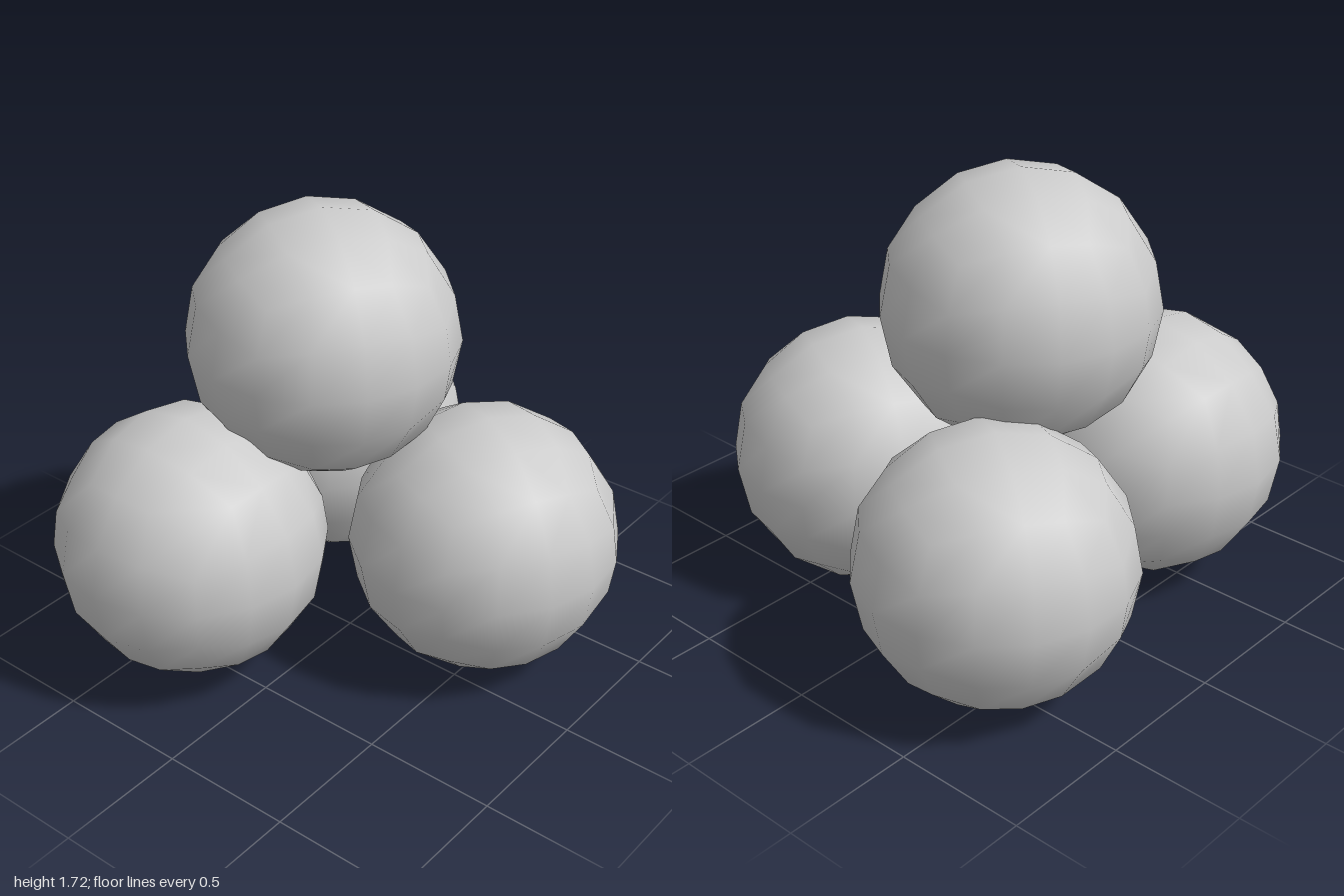
import * as THREE from 'three';

// Low-poly ball: a subdivided cube warped to equal angles and pushed out to a sphere
function ballGeometry(radius) {
  const geo = new THREE.BoxGeometry(2, 2, 2, 4, 4, 4);
  const pos = geo.attributes.position;
  const normal = geo.attributes.normal;
  const v = new THREE.Vector3();
  const warp = (t) => Math.tan((t * Math.PI) / 4);
  for (let i = 0; i < pos.count; i++) {
    v.fromBufferAttribute(pos, i);
    v.set(warp(v.x), warp(v.y), warp(v.z)).normalize();
    normal.setXYZ(i, v.x, v.y, v.z);
    pos.setXYZ(i, v.x * radius, v.y * radius, v.z * radius);
  }
  return geo;
}

export function createModel() {
  const group = new THREE.Group();
  group.name = 'ballPile';
  const material = new THREE.MeshStandardMaterial({ color: 0xcccccc });
  const geometry = ballGeometry(0.5);

  // Three balls on the ground and one resting on top: name, centre, turn in degrees
  const balls = [
    ['frontBall', [-0.34, 0.535, 0.5], 0],
    ['leftBall', [0.455, 0.5, -0.22], -26.5],
    ['backBall', [-0.457, 0.507, -0.5], -33],
    ['topBall', [-0.14, 1.215, -0.02], -33],
  ];
  for (const [name, centre, turn] of balls) {
    const ball = new THREE.Mesh(geometry, material);
    ball.name = name;
    ball.position.set(...centre);
    ball.rotation.y = THREE.MathUtils.degToRad(turn);
    group.add(ball);
  }
  return group;
}
